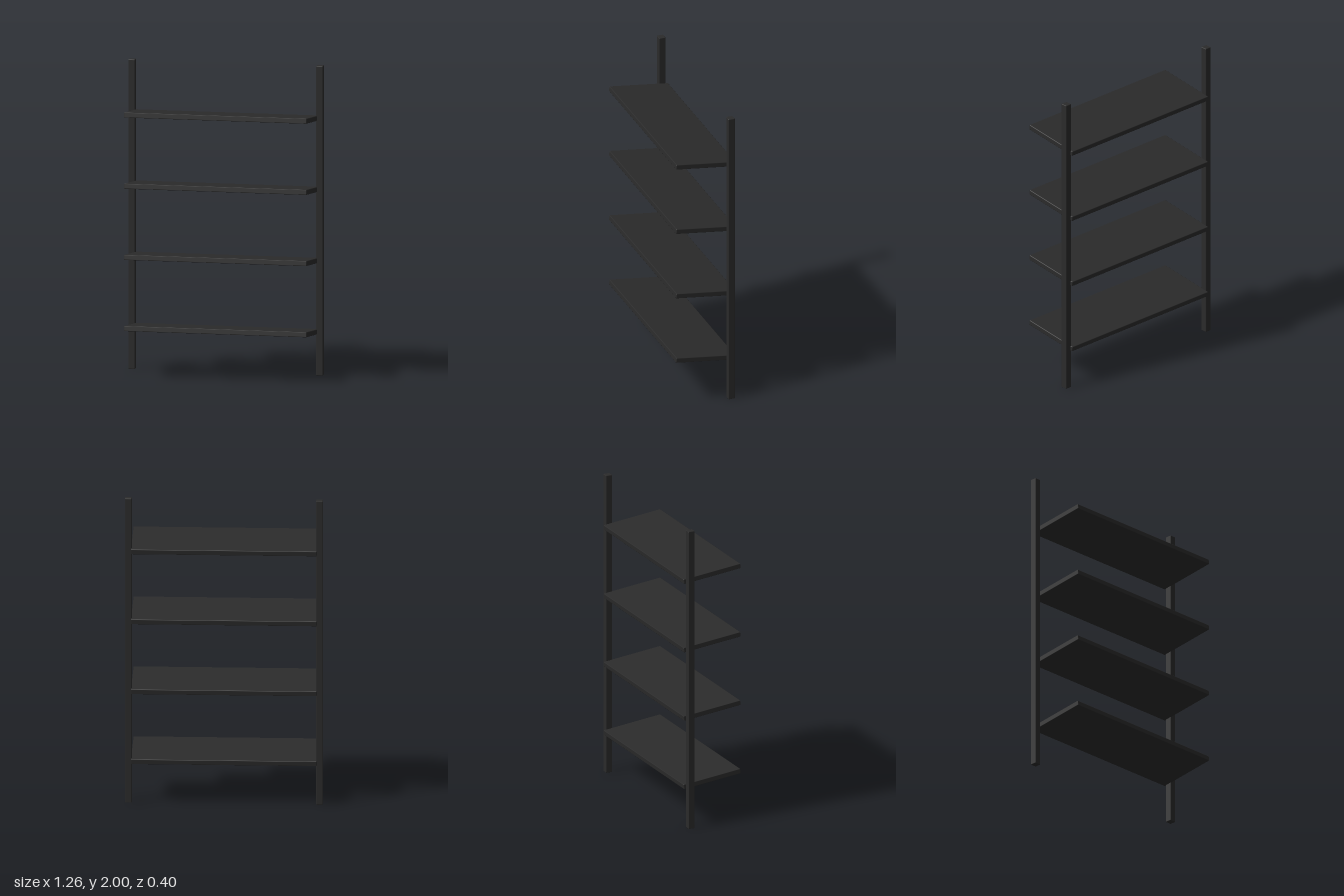
import * as THREE from 'three';
import { RoundedBoxGeometry } from 'three/addons/geometries/RoundedBoxGeometry.js';

export function createModel() {
  const model = new THREE.Group();
  model.name = 'wallShelf';

  const blackMetal = new THREE.MeshStandardMaterial({ color: 0x2b2b2b });
  blackMetal.name = 'matteBlack';

  const addBar = (name, size, position) => {
    const mesh = new THREE.Mesh(new RoundedBoxGeometry(...size, 1, 0.004), blackMetal);
    mesh.name = name;
    mesh.position.set(...position);
    model.add(mesh);
    return mesh;
  };

  // Two upright posts near the back
  for (const side of [-1, 1]) {
    addBar(side > 0 ? 'leftPost' : 'rightPost', [0.044, 2, 0.044], [side * 0.609, 1, -0.163]);
  }

  // Four shelf boards, tilted up towards the front
  const tilt = THREE.MathUtils.degToRad(7);
  for (let i = 0; i < 4; i++) {
    const shelf = addBar(`shelf${i + 1}`, [1.184, 0.033, 0.403], [0, 0.298 + i * 0.46, 0]);
    shelf.rotation.x = -tilt;
  }

  return model;
}
